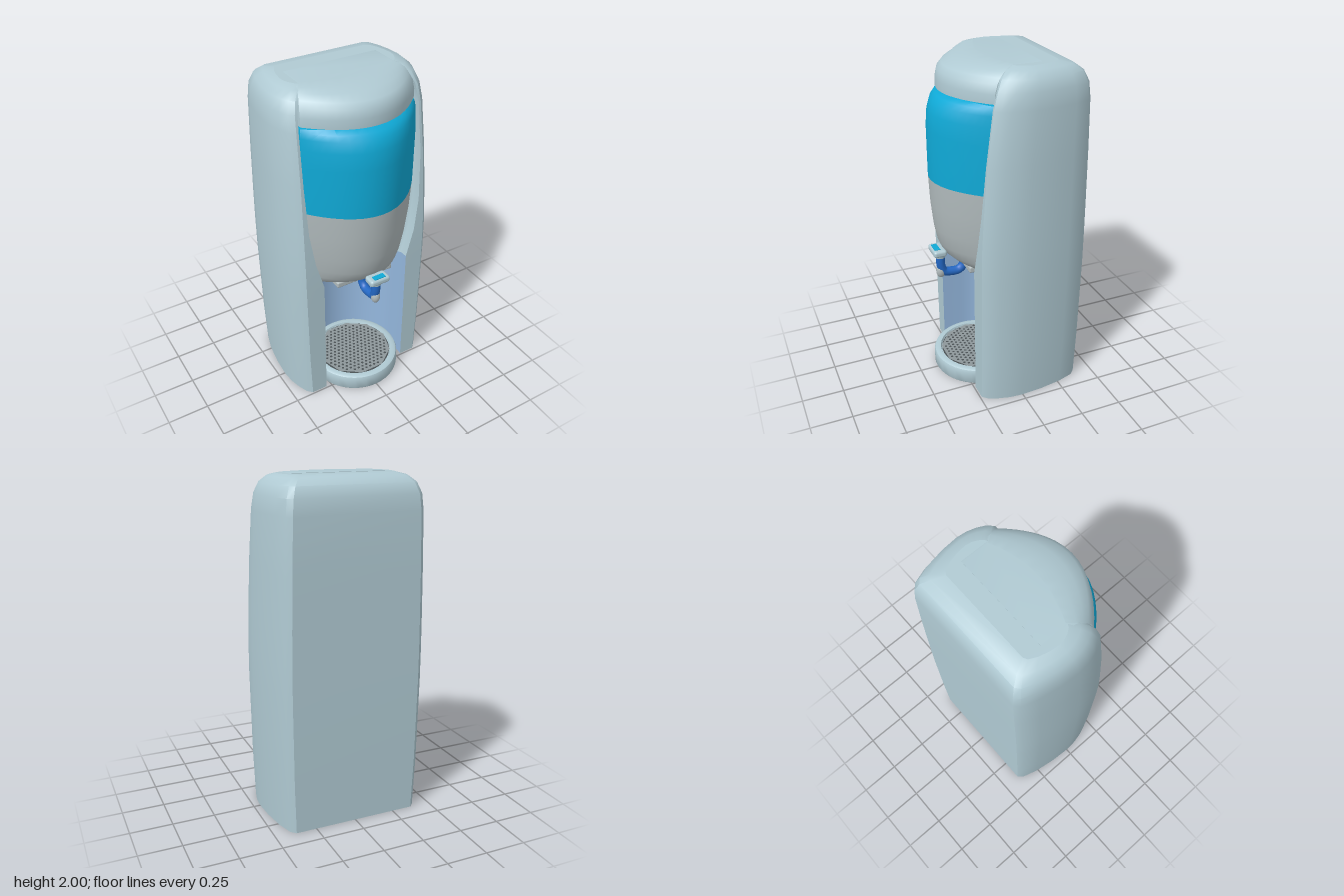
import * as THREE from 'three';
import { toCreasedNormals } from 'three/addons/utils/BufferGeometryUtils.js';
import { RoundedBoxGeometry } from 'three/addons/geometries/RoundedBoxGeometry.js';

const mat = (name, color) => {
  const m = new THREE.MeshStandardMaterial({ color });
  m.name = name;
  return m;
};

// Skin a stack of [x, y, z] sections, listed bottom to top, with optional flat caps.
function loft(rows, { closed = true, bottom = false, top = false, crease = 0.6 } = {}) {
  const pos = [];
  const A = new THREE.Vector3(), B = new THREE.Vector3(), C = new THREE.Vector3();
  const tri = (a, b, c, upSign = 0) => {
    A.set(...a); B.set(...b).sub(A); C.set(...c).sub(A);
    const n = B.cross(C);
    if (n.length() < 1e-9) return;
    if (upSign && n.y * upSign < 0) pos.push(...a, ...c, ...b);
    else pos.push(...a, ...b, ...c);
  };
  const n = rows[0].length;
  for (let i = 0; i < rows.length - 1; i++) {
    for (let j = 0; j < (closed ? n : n - 1); j++) {
      const k = (j + 1) % n, lo = rows[i], hi = rows[i + 1];
      tri(lo[j], hi[j], lo[k]);
      tri(lo[k], hi[j], hi[k]);
    }
  }
  const cap = (row, sign) => {
    const contour = row.map(p => new THREE.Vector2(p[0], p[2]));
    for (const [a, b, c] of THREE.ShapeUtils.triangulateShape(contour, [])) tri(row[a], row[b], row[c], sign);
  };
  if (bottom) cap(rows[0], -1);
  if (top) cap(rows[rows.length - 1], 1);
  const g = new THREE.BufferGeometry();
  g.setAttribute('position', new THREE.Float32BufferAttribute(pos, 3));
  return toCreasedNormals(g, crease);
}

// Section with a bowed front and a flat back: half width, edge z, peak z, back z.
function bowSection([y, w, edge, peak], back) {
  const row = [];
  for (let i = 0; i <= 20; i++) {
    const u = Math.cos((i / 20) * Math.PI);
    row.push([w * u, y, edge + (peak - edge) * (1 - u * u)]);
  }
  row.push([-w, y, back], [w, y, back]);
  return row;
}

// Cabinet stations: y, half width, front z, back z, recess half width, recess depth factor
const STATIONS = [
  [0, 0.46, 0.24, -0.39, 0.285, 1],
  [0.3, 0.472, 0.24, -0.395, 0.285, 1],
  [0.82, 0.48, 0.24, -0.4, 0.285, 1],
  [0.82, 0.48, 0.24, -0.4, 0.285, 0.3],
  [1.0, 0.48, 0.237, -0.4, 0.335, 0.3],
  [1.2, 0.477, 0.225, -0.4, 0.365, 0.3],
  [1.5, 0.47, 0.2, -0.4, 0.375, 0.3],
  [1.8, 0.46, 0.16, -0.398, 0.37, 0.25],
  [1.89, 0.45, 0.135, -0.39, 0.36, 0.2],
  [1.95, 0.425, 0.105, -0.365, 0.335, 0.12],
  [1.985, 0.385, 0.065, -0.32, 0.3, 0.06],
  [1.998, 0.34, 0.02, -0.25, 0.265, 0.02],
];
const SIDE = [[0.39, -0.4], [0.42, -0.37], [0.45, -0.27], [0.472, -0.13], [0.48, 0],
  [0.473, 0.08], [0.455, 0.15], [0.43, 0.21], [0.4, 0.24]];

function outerSection([y, w, zF, zB, inner]) {
  const half = SIDE.map(([x, z]) => [x * w / 0.48, y, zB + (zF - zB) * (z + 0.4) / 0.64]);
  half.push([inner, y, zF]);
  return [...half.map(([x, yy, z]) => [-x, yy, z]).reverse(), ...half];
}

function recessSection([y, , zF, , inner, k]) {
  const row = [[inner, y, zF]];
  for (let i = 0; i <= 20; i++) {
    const t = (i / 20) * Math.PI;
    row.push([inner * Math.cos(t), y, zF - k * (0.13 + 0.285 * Math.sin(t))]);
  }
  row.push([-inner, y, zF]);
  return row;
}

export function createModel() {
  const group = new THREE.Group();
  const shell = mat('pale blue grey shell', 0xb0cad3);
  const grey = mat('light grey', 0xb2bcbe);
  const cyan = mat('cyan', 0x0fa9d6);
  const alcoveBlue = mat('soft blue', 0x94b7dd);
  const tapBlue = mat('tap blue', 0x2468c4);
  const grilleGrey = mat('grille grey', 0x8d979a);
  const dark = mat('drain dark', 0x4a5154);
  const add = (name, geo, material, x = 0, y = 0, z = 0) => {
    const m = new THREE.Mesh(geo, material);
    m.name = name;
    m.position.set(x, y, z);
    group.add(m);
    return m;
  };

  // Cabinet: outer walls, alcove lining, upper recess and end caps
  const recess = STATIONS.map(recessSection);
  const ring = s => [...outerSection(s), ...recessSection(s).slice(1, -1)];
  add('cabinetWalls', loft(STATIONS.map(outerSection), { closed: false }), shell);
  add('alcoveLining', loft(recess.slice(0, 3), { closed: false }), alcoveBlue);
  add('upperRecess', loft(recess.slice(2), { closed: false }), shell);
  add('cabinetBottom', loft([ring(STATIONS[0])], { bottom: true }), shell);
  add('cabinetTop', loft([ring(STATIONS[STATIONS.length - 1])], { top: true }), shell);

  // Hood overhanging the front panel
  const hood = [
    [1.82, 0.35, 0.14, 0.322], [1.87, 0.35, 0.14, 0.322], [1.92, 0.345, 0.125, 0.312],
    [1.95, 0.335, 0.105, 0.285], [1.975, 0.325, 0.08, 0.22], [1.992, 0.31, 0.05, 0.15], [2.0, 0.28, 0.01, 0.08],
  ];
  add('hood', loft(hood.map(r => bowSection(r, -0.15)), { bottom: true, top: true }), shell);

  // Bowed front panel: grey below, cyan above
  const lower = [
    [0.78, 0.25, 0.14, 0.25], [0.8, 0.272, 0.15, 0.275], [0.84, 0.287, 0.155, 0.318],
    [0.9, 0.3, 0.16, 0.345], [1.0, 0.322, 0.16, 0.365], [1.15, 0.345, 0.16, 0.38], [1.31, 0.357, 0.16, 0.387],
  ];
  const upper = [
    [1.31, 0.357, 0.16, 0.387], [1.6, 0.36, 0.16, 0.387], [1.7, 0.36, 0.155, 0.378],
    [1.76, 0.358, 0.15, 0.358], [1.79, 0.355, 0.148, 0.33], [1.81, 0.35, 0.14, 0.285],
  ];
  add('lowerPanel', loft(lower.map(r => bowSection(r, 0.11)), { bottom: true }), grey);
  add('upperPanel', loft(upper.map(r => bowSection(r, 0.11)), { top: true }), cyan);
  add('panelUnderside', new RoundedBoxGeometry(0.38, 0.04, 0.12, 2, 0.01), grey, 0, 0.78, 0.17);

  // Drip tray with a perforated grille
  const tray = [[0, 0], [0.275, 0], [0.28, 0.008], [0.28, 0.08], [0.275, 0.093], [0.262, 0.1],
    [0.24, 0.1], [0.235, 0.088], [0, 0.088]].map(p => new THREE.Vector2(...p));
  add('dripTray', toCreasedNormals(new THREE.LatheGeometry(tray, 48), 0.6), shell, 0, 0, 0.11);
  const drain = add('trayDrain', new THREE.CircleGeometry(0.232, 40), dark, 0, 0.09, 0.11);
  drain.rotation.x = -Math.PI / 2;
  const plate = new THREE.Shape().absarc(0, 0, 0.235, 0, Math.PI * 2);
  for (let r = -8; r <= 8; r++) {
    for (let c = -8; c <= 8; c++) {
      const x = (c + (r & 1) / 2) * 0.029, y = r * 0.025;
      if (Math.hypot(x, y) < 0.215) plate.holes.push(new THREE.Path().absarc(x, y, 0.008, 0, Math.PI * 2, true));
    }
  }
  const grille = add('trayGrille', new THREE.ShapeGeometry(plate, 5), grilleGrey, 0, 0.095, 0.11);
  grille.rotation.x = -Math.PI / 2;

  // Tap: push button, collar, looped lever and spout tip
  add('tapButton', new RoundedBoxGeometry(0.13, 0.042, 0.08, 3, 0.016), shell, 0, 0.848, 0.36);
  add('buttonInsert', new RoundedBoxGeometry(0.075, 0.006, 0.035, 1, 0.002), cyan, 0, 0.87, 0.372);
  add('tapCollar', new THREE.CylinderGeometry(0.036, 0.03, 0.03, 20), shell, 0, 0.815, 0.345);
  const path = new THREE.CatmullRomCurve3([[0.81, 0.345], [0.74, 0.342], [0.7, 0.325], [0.688, 0.28],
    [0.69, 0.23], [0.72, 0.2], [0.79, 0.19]].map(([y, z]) => new THREE.Vector3(0, y, z)));
  add('tapLever', new THREE.TubeGeometry(path, 32, 0.027, 12), tapBlue);
  add('spoutTip', new THREE.SphereGeometry(1, 16, 12), grey, 0, 0.705, 0.343).scale.set(0.027, 0.045, 0.03);
  return group;
}
